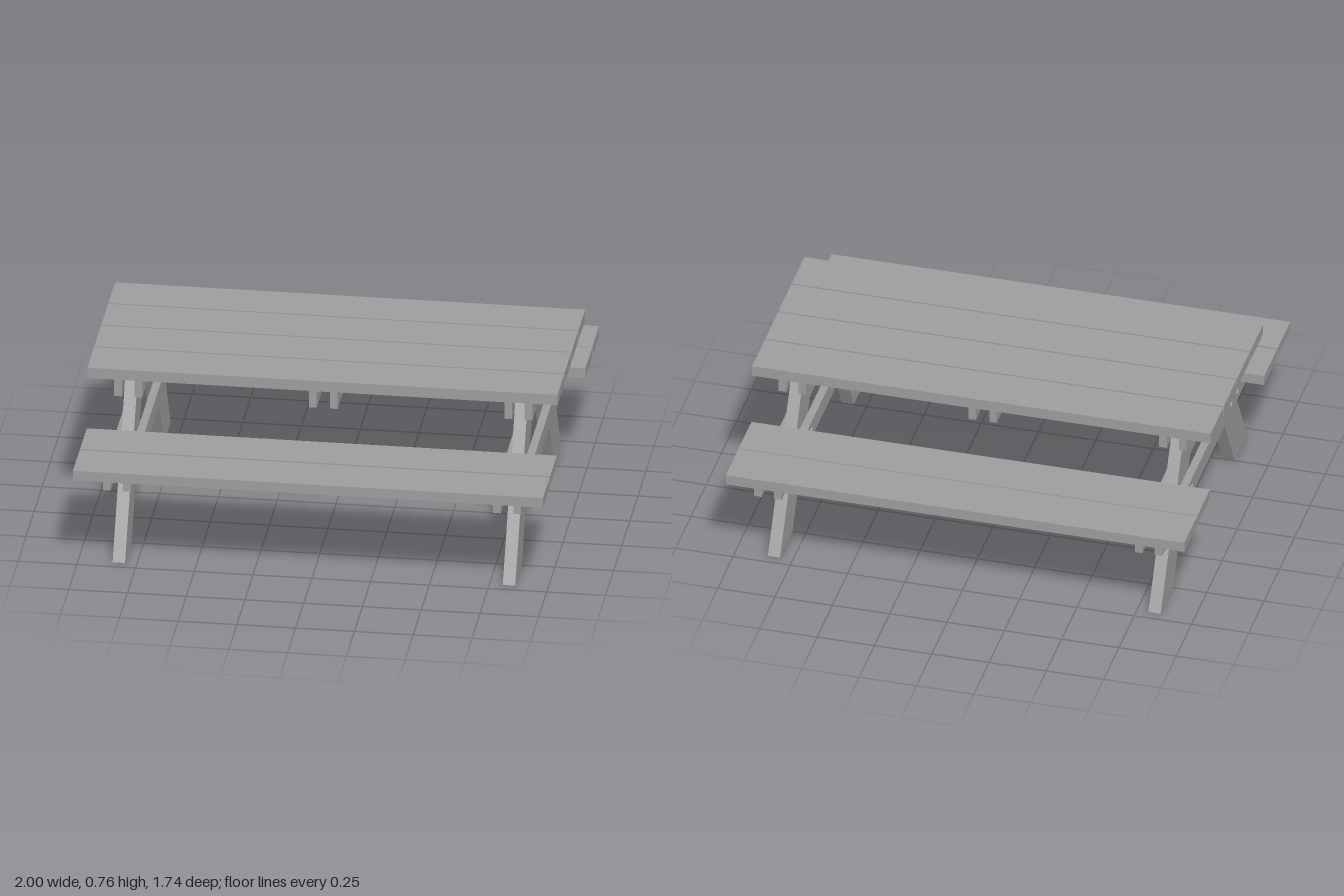
import * as THREE from 'three';

export function createModel() {
  const model = new THREE.Group();
  model.name = 'picnicTable';
  const wood = new THREE.MeshStandardMaterial({ color: 0x9d9d9d, flatShading: true });

  // Box given by its min and max along each axis
  function beam(name, [x0, x1], [y0, y1], [z0, z1], parent = model) {
    const mesh = new THREE.Mesh(new THREE.BoxGeometry(x1 - x0, y1 - y0, z1 - z0), wood);
    mesh.position.set((x0 + x1) / 2, (y0 + y1) / 2, (z0 + z1) / 2);
    mesh.name = name;
    parent.add(mesh);
  }

  // Tabletop planks
  for (let i = 0; i < 4; i++) {
    const z = -0.438 + i * 0.217;
    beam('tabletopPlank', [-1, 1], [0.716, 0.764], [z, z + 0.208]);
  }

  // Bench planks, the front bench sits a touch higher
  for (const z of [0.44, 0.66]) {
    beam('frontBenchPlank', [-1, 1], [0.446, 0.491], [z, z + 0.208]);
  }
  for (const z of [-0.868, -0.655]) {
    beam('backBenchPlank', [-1, 1], [0.442, 0.488], [z, z + 0.208]);
  }

  // Pair of braces under the middle of the tabletop
  for (const x of [-0.058, 0.032]) {
    beam('middleBrace', [x, x + 0.032], [0.636, 0.716], [-0.404, 0.413]);
  }

  // Slanted leg: a parallelogram in the side plane, extruded across x
  const legThickness = 0.053;
  const legTop = 0.716;
  const slope = 0.575;
  function leg(side, parent) {
    const foot = [0.503, 0.706];
    const shape = new THREE.Shape([
      new THREE.Vector2(-side * foot[0], 0),
      new THREE.Vector2(-side * foot[1], 0),
      new THREE.Vector2(-side * (foot[1] - slope * legTop), legTop),
      new THREE.Vector2(-side * (foot[0] - slope * legTop), legTop),
    ]);
    const geometry = new THREE.ExtrudeGeometry(shape, { depth: legThickness, bevelEnabled: false });
    geometry.translate(0, 0, -legThickness / 2);
    geometry.rotateY(Math.PI / 2);
    const mesh = new THREE.Mesh(geometry, wood);
    mesh.name = side > 0 ? 'frontLeg' : 'backLeg';
    parent.add(mesh);
  }

  // End frames: two legs clamped between paired rails and bolted
  for (const end of [-1, 1]) {
    const frame = new THREE.Group();
    frame.name = end > 0 ? 'leftFrame' : 'rightFrame';
    frame.position.x = end * 0.83 + 0.003;
    model.add(frame);

    for (const x of [-0.06, 0.0265]) {
      beam('topRail', [x, x + 0.0335], [0.636, 0.716], [-0.404, 0.413], frame);
      beam('benchRail', [x, x + 0.0335], [0.361, 0.442], [-0.804, 0.766], frame);
    }

    for (const side of [-1, 1]) {
      leg(side, frame);
      for (const offset of [-0.05, 0.05]) {
        const bolt = new THREE.Mesh(new THREE.CylinderGeometry(0.014, 0.014, 0.132, 12), wood);
        bolt.rotation.z = Math.PI / 2;
        bolt.position.set(0, 0.402, side * (0.373 + offset));
        bolt.name = 'bolt';
        frame.add(bolt);
      }
    }
  }

  return model;
}
